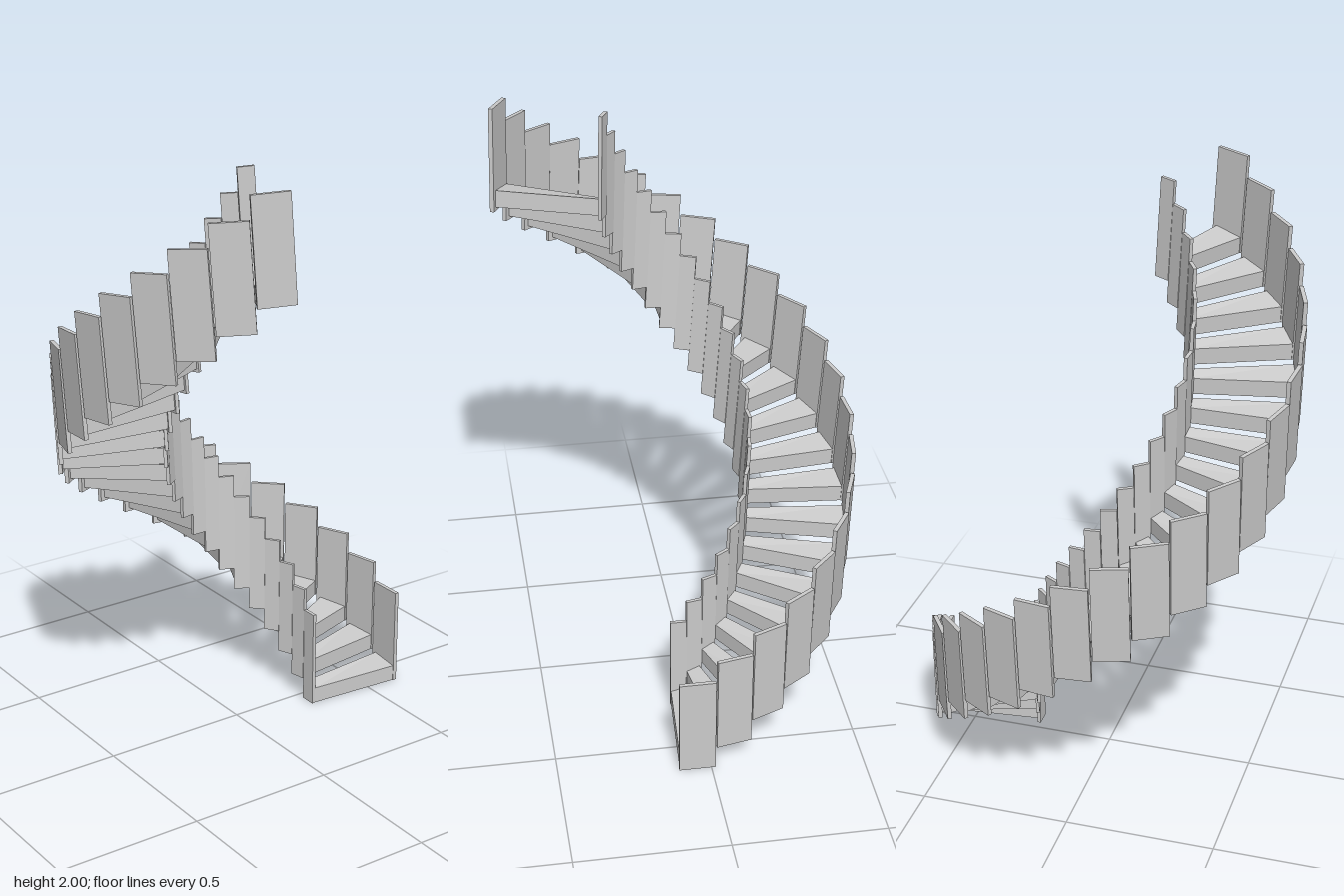
import * as THREE from 'three';

const STEPS = 22;
const TURN = THREE.MathUtils.degToRad(11.68); // turn per step
const RISE = 0.0788;                          // climb per step along the axis
const AXIS = new THREE.Vector3(-0.018, 1, -0.034).normalize(); // slightly leaning axis
const FOOT = new THREE.Vector3(0.02, 0, 0.064);                // where the axis meets the floor

// Wedge-shaped tread, narrow at the inner end
function treadGeometry() {
  const geo = new THREE.BoxGeometry(1, 1, 1);
  const p = geo.attributes.position;
  for (let i = 0; i < p.count; i++) {
    const outer = p.getX(i) > 0, near = p.getZ(i) > 0;
    const z = outer ? (near ? 0.104 : 0.002) : (near ? 0.081 : 0.037);
    const y = (p.getY(i) > 0 ? 0.056 : 0) + (near ? 0 : 0.012);
    p.setXYZ(i, outer ? 0.61 : 0.272, y, z);
  }
  geo.computeVertexNormals();
  return geo;
}

// Upright side panel between two x and two z positions
function panelGeometry(x0, x1, z0, z1, height) {
  return new THREE.BoxGeometry(x1 - x0, height, z1 - z0)
    .translate((x0 + x1) / 2, height / 2, (z0 + z1) / 2);
}

export function createModel() {
  const model = new THREE.Group();
  model.name = 'spiralStaircase';
  const material = new THREE.MeshStandardMaterial({ color: 0xcccccc, flatShading: true });

  const parts = {
    tread: treadGeometry(),
    outerPanel: panelGeometry(0.607, 0.621, -0.014, 0.106, 0.34),
    innerPanel: panelGeometry(0.264, 0.276, 0.029, 0.083, 0.34),
  };
  for (const geo of Object.values(parts)) geo.translate(-FOOT.x, 0, -FOOT.z);

  // Each step is the first one screwed along the leaning axis
  for (let i = 0; i < STEPS; i++) {
    const step = new THREE.Group();
    step.name = `step${i + 1}`;
    step.position.copy(FOOT).addScaledVector(AXIS, RISE * i);
    step.quaternion.setFromAxisAngle(AXIS, TURN * i);
    for (const [name, geo] of Object.entries(parts)) {
      const mesh = new THREE.Mesh(geo, material);
      mesh.name = name;
      step.add(mesh);
    }
    model.add(step);
  }
  return model;
}
